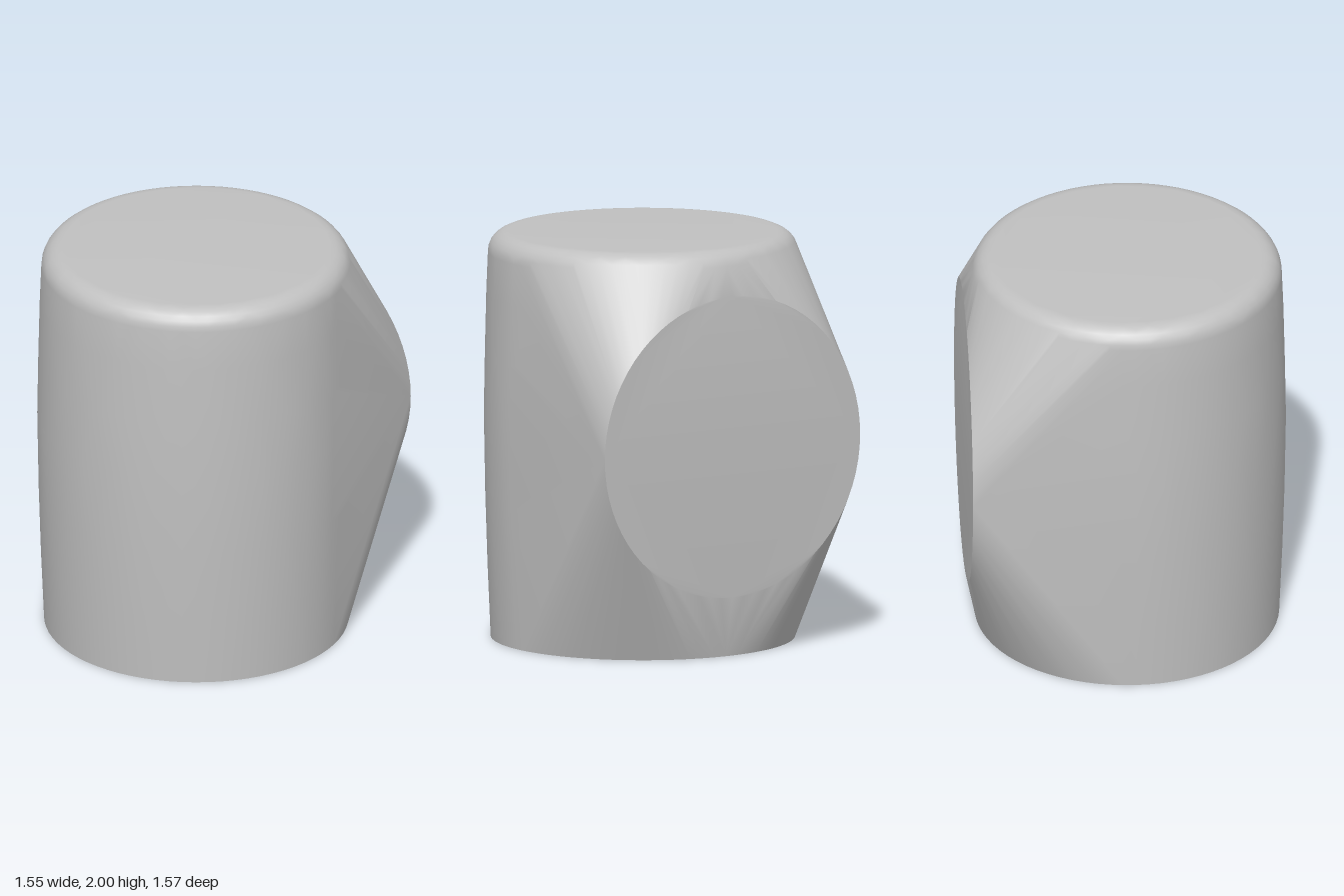
import * as THREE from 'three';
import { ConvexGeometry } from 'three/addons/geometries/ConvexGeometry.js';
import { toCreasedNormals } from 'three/addons/utils/BufferGeometryUtils.js';

const SEGMENTS = 72;

// Horizontal ring of the upright barrel
function barrelRing(radius, y) {
  return Array.from({ length: SEGMENTS }, (_, i) => {
    const a = (i / SEGMENTS) * Math.PI * 2;
    return new THREE.Vector3(radius * Math.cos(a), y, 0.01 + radius * Math.sin(a));
  });
}

// Upright ring of the flat round face at the back
function backRing(radius, y, z) {
  return Array.from({ length: SEGMENTS }, (_, i) => {
    const a = (i / SEGMENTS) * Math.PI * 2;
    return new THREE.Vector3(radius * Math.cos(a), y + radius * Math.sin(a), z);
  });
}

export function createModel() {
  const group = new THREE.Group();
  group.name = 'blendedBarrel';
  const grey = new THREE.MeshStandardMaterial({ color: 0xc0c0c0 });
  grey.name = 'grey';

  // Slightly bulging barrel profile: radius, height
  const profile = [
    [0.742, 0], [0.757, 0.35], [0.768, 0.7], [0.775, 1.1],
    [0.77, 1.4], [0.763, 1.7],
  ];
  // Rounded top edge
  for (let i = 0; i <= 6; i++) {
    const a = (i / 6) * Math.PI / 2;
    profile.push([0.655 + 0.1 * Math.cos(a), 1.9 + 0.1 * Math.sin(a)]);
  }

  // Skin stretched tightly over the barrel and the back disc
  const points = profile.flatMap(([r, y]) => barrelRing(r, y));
  points.push(...backRing(0.743, 1.04, -0.787));
  const body = new THREE.Mesh(toCreasedNormals(new ConvexGeometry(points), 0.4), grey);
  body.name = 'body';
  group.add(body);
  return group;
}
